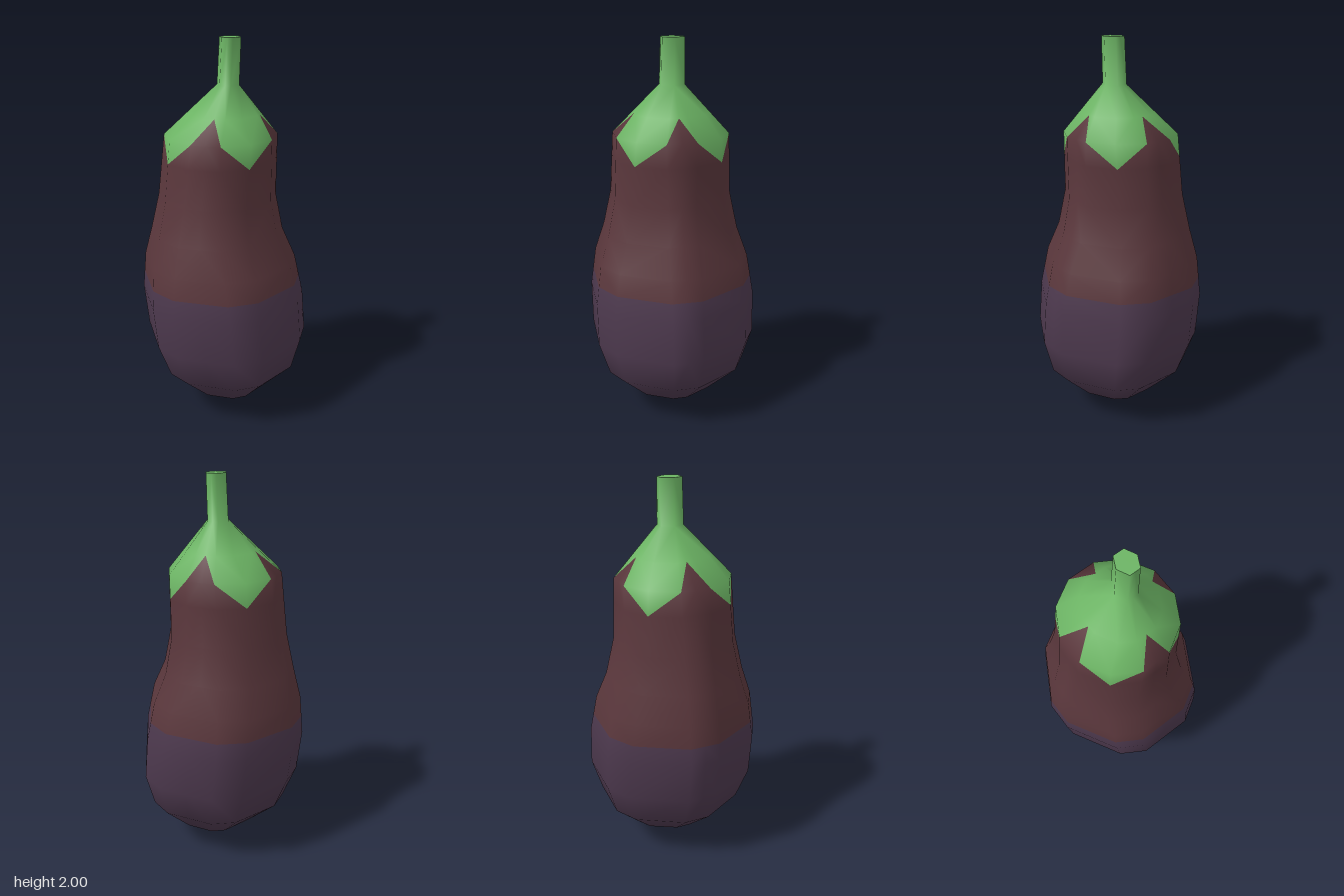
import * as THREE from 'three';
import { mergeVertices } from 'three/addons/utils/BufferGeometryUtils.js';

// Key cross-sections: height, centre x, half width, half depth, corner bevel in degrees
const SECTIONS = [
  [0, 0.03, 0, 0, 10],
  [0.09, 0.03, 0.205, 0.215, 10],
  [0.25, 0.0225, 0.3725, 0.37, 10],
  [0.43, 0.01, 0.43, 0.425, 10],
  [0.655, -0.0125, 0.4325, 0.425, 10],
  [0.86, -0.0275, 0.3975, 0.395, 11],
  [1.01, -0.0425, 0.3425, 0.345, 12],
  [1.2, -0.04, 0.3, 0.305, 13],
  [1.52, -0.02, 0.28, 0.29, 15],
  [1.77, 0.0175, 0.0575, 0.06, 0],
  [2, 0.0275, 0.055, 0.056, 0],
];
const SPLIT = 0.75, TIP = 1.4, SHOULDER = 1.52, VALLEY = 1.63;
const COLUMNS = 16;

// Hexagon with bevelled corners, plus a midpoint column under each calyx notch
function makeRing([y, cx, hx, hz, bevel]) {
  const rad = THREE.MathUtils.degToRad;
  const at = (deg) => new THREE.Vector3(
    cx + hx * Math.cos(rad(deg)) / Math.cos(rad(bevel)), y,
    hz * Math.sin(rad(deg)) / Math.sin(rad(60 + bevel)));
  const ring = [];
  for (let q = 0; q < 4; q++) {
    const corners = [-1, 0, 1, 2, 3].map((i) => {
      const n = q * 3 + i; // corner n sits near 15 + 30n degrees
      return at(60 * Math.floor((n + 1) / 2) + (n % 2 === 0 ? bevel : -bevel));
    });
    ring.push(corners[0].clone().lerp(corners[1], 0.5), corners[1], corners[2], corners[3]);
  }
  return ring;
}

const keyRings = SECTIONS.map(makeRing);

// Straight interpolation between key cross-sections
function ringAt(y) {
  const i = SECTIONS.findIndex((s) => s[0] >= y);
  if (SECTIONS[i][0] === y) return keyRings[i];
  const t = (y - SECTIONS[i - 1][0]) / (SECTIONS[i][0] - SECTIONS[i - 1][0]);
  return keyRings[i - 1].map((p, j) => p.clone().lerp(keyRings[i][j], t));
}

export function createModel() {
  const mats = {
    lowerSkin: new THREE.MeshStandardMaterial({ color: 0x4d394e, name: 'dark purple' }),
    upperSkin: new THREE.MeshStandardMaterial({ color: 0x5a373c, name: 'reddish brown' }),
    calyx: new THREE.MeshStandardMaterial({ color: 0x6cb464, name: 'leaf green' }),
  };
  const heights = [...SECTIONS.map((s) => s[0]), SPLIT, TIP, VALLEY].sort((a, b) => a - b);
  const rings = heights.map(ringAt);

  // Lower edge of the calyx in each column: notch, side, leaf tip, side
  const edge = (j) => [VALLEY, SHOULDER, TIP, SHOULDER][j % 4];

  const faces = { lowerSkin: [], upperSkin: [], calyx: [], stem: [] };
  const addFace = (...corners) => {
    const pts = corners.map(([i, j]) => rings[i][j % COLUMNS]);
    if (new THREE.Triangle(...pts).getArea() < 1e-7) return;
    const low = Math.min(...corners.map(([i]) => heights[i]));
    const green = corners.every(([i, j]) => heights[i] >= edge(j) - 1e-6);
    const part = low >= 1.77 ? 'stem' : green ? 'calyx' : low >= SPLIT ? 'upperSkin' : 'lowerSkin';
    faces[part].push(...pts);
  };
  for (let i = 0; i < rings.length - 1; i++) {
    for (let j = 0; j < COLUMNS; j++) {
      const a = [i, j], b = [i, j + 1], c = [i + 1, j + 1], d = [i + 1, j];
      // The diagonal follows the zigzag edge of the calyx
      if (edge(j) < edge(j + 1)) {
        addFace(a, d, c);
        addFace(a, c, b);
      } else {
        addFace(a, d, b);
        addFace(d, c, b);
      }
    }
  }

  // One smooth surface, so that normals run on across the colour borders
  const skin = mergeVertices(new THREE.BufferGeometry().setFromPoints(Object.values(faces).flat()));
  skin.computeVertexNormals();

  const group = new THREE.Group();
  group.name = 'eggplant';
  let start = 0;
  for (const [name, pts] of Object.entries(faces)) {
    const part = new THREE.BufferGeometry();
    part.setAttribute('position', skin.attributes.position);
    part.setAttribute('normal', skin.attributes.normal);
    part.setIndex(Array.from(skin.index.array.slice(start, start + pts.length)));
    start += pts.length;
    const mesh = new THREE.Mesh(part, mats[name] || mats.calyx);
    mesh.name = name;
    group.add(mesh);
  }

  // Flat cut end of the stem
  const top = rings[rings.length - 1];
  const centre = new THREE.Vector3(SECTIONS[SECTIONS.length - 1][1], 2, 0);
  const capPoints = top.flatMap((p, j) => [centre, top[(j + 1) % COLUMNS], p]);
  const capGeometry = new THREE.BufferGeometry().setFromPoints(capPoints);
  capGeometry.setAttribute('normal',
    new THREE.Float32BufferAttribute(capPoints.flatMap(() => [0, 1, 0]), 3));
  const cap = new THREE.Mesh(capGeometry, mats.calyx);
  cap.name = 'stemEnd';
  group.add(cap);
  return group;
}
